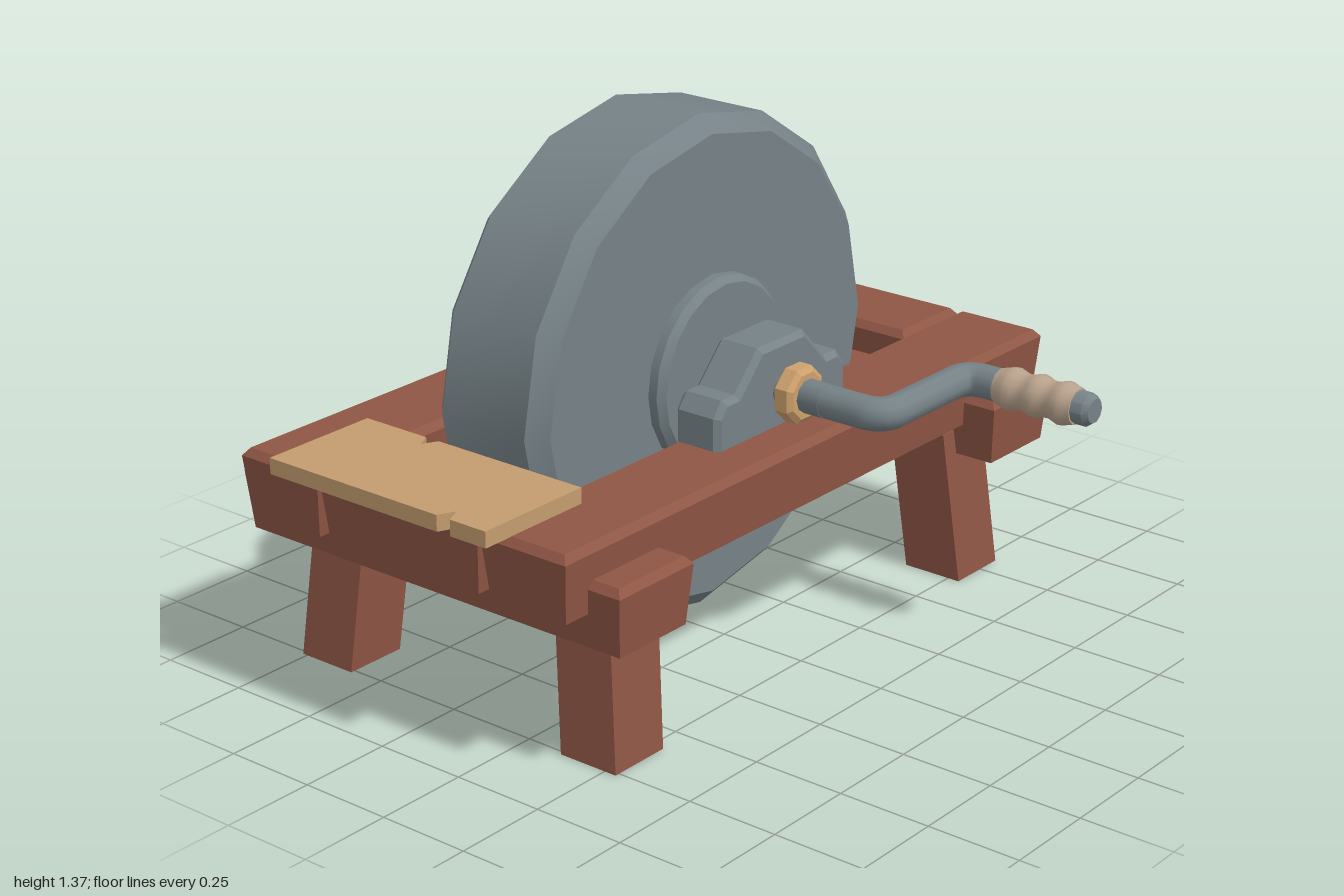
import * as THREE from 'three';
import { toCreasedNormals } from 'three/addons/utils/BufferGeometryUtils.js';
import { ConvexGeometry } from 'three/addons/geometries/ConvexGeometry.js';

const material = (name, color) => {
  const m = new THREE.MeshStandardMaterial({ color });
  m.name = name;
  return m;
};

export function createModel() {
  const model = new THREE.Group();
  model.name = 'grindstone';
  const wood = material('red wood', 0x8f5645);
  const stone = material('grey stone and iron', 0x768287);
  const board = material('light wood', 0xc39c6f);
  const brass = material('brass', 0xcda06c);
  const wrap = material('grip wrap', 0xb8a28c);

  const MID_X = -0.24, AXLE_Y = 0.71, AXLE_Z = -0.03;

  const add = (name, geometry, mat, x = 0, y = 0, z = 0) => {
    const mesh = new THREE.Mesh(geometry, mat);
    mesh.name = name;
    mesh.position.set(x, y, z);
    model.add(mesh);
    return mesh;
  };

  // Beam with a chamfered top and sides tapering in towards the bottom
  const beam = (name, x0, x1, y0, y1, z0, z1) => {
    const points = [];
    for (const [y, inset] of [[y0, 0.014], [y1 - 0.02, 0], [y1, 0.016]])
      for (const x of [x0 + inset, x1 - inset])
        for (const z of [z0 + inset, z1 - inset]) points.push(new THREE.Vector3(x, y, z));
    add(name, new ConvexGeometry(points), wood);
  };

  // Turned part along x, from [x, radius] pairs
  const turned = (name, profile, sides, mat, y, z, crease = 0.6, turn = 0) => {
    const g = new THREE.LatheGeometry(profile.map(([x, r]) => new THREE.Vector2(r, x)), sides);
    g.rotateY(turn);
    g.rotateZ(-Math.PI / 2);
    add(name, toCreasedNormals(g, crease), mat, 0, y, z);
  };

  // Frame: two long rails, end fillers and lower cross beams
  beam('rightRail', -0.765, -0.505, 0.445, 0.62, -1, 0.93);
  beam('leftRail', 0.028, 0.288, 0.445, 0.62, -1, 0.93);
  beam('backFiller', -0.495, 0.018, 0.445, 0.62, -1, -0.745);
  beam('frontFiller', -0.495, 0.018, 0.445, 0.62, 0.675, 0.93);
  beam('backCrossBeam', -0.853, 0.375, 0.355, 0.53, -0.917, -0.656);
  beam('frontCrossBeam', -0.853, 0.375, 0.355, 0.53, 0.58, 0.845);

  // Splayed legs
  for (const sx of [-1, 1])
    for (const sz of [-1, 1]) {
      const g = new THREE.BoxGeometry(0.172, 0.42, 0.175);
      g.translate(0, 0.21, 0);
      const p = g.attributes.position;
      for (let i = 0; i < p.count; i++) {
        const y = p.getY(i);
        p.setX(i, p.getX(i) - sx * 0.096 * y);
        p.setZ(i, p.getZ(i) - sz * 0.075 * y);
      }
      g.computeVertexNormals();
      add((sz > 0 ? 'front' : 'back') + (sx > 0 ? 'Left' : 'Right') + 'Leg', g, wood,
        MID_X + sx * 0.438, 0, AXLE_Z + sz * 0.705);
    }

  // Grinding wheel and hub
  turned('wheel', [[-0.415, 0], [-0.415, 0.615], [-0.372, 0.66], [-0.105, 0.66],
    [-0.062, 0.615], [-0.062, 0]], 16, stone, AXLE_Y, AXLE_Z, 0.45);
  turned('hub', [[-0.458, 0], [-0.458, 0.235], [-0.44, 0.252], [-0.036, 0.252],
    [-0.018, 0.235], [-0.018, 0]], 20, stone, AXLE_Y, AXLE_Z, 0.45);

  // Axle with collars
  turned('axle', [[-0.78, 0], [-0.78, 0.032], [-0.765, 0.044], [0.3, 0.044], [0.3, 0]],
    10, stone, AXLE_Y, AXLE_Z, 0.68);
  for (const [name, x] of [['rightCollar', -0.687], ['leftCollar', 0.21]])
    turned(name, [[x - 0.029, 0], [x - 0.029, 0.062], [x - 0.018, 0.076], [x + 0.018, 0.076],
      [x + 0.029, 0.062], [x + 0.029, 0]], 8, brass, AXLE_Y, AXLE_Z, 0.3, Math.PI / 8);

  // Stepped bearing blocks
  const block = new THREE.Shape([[-0.26, 0.6], [0.26, 0.6], [0.26, 0.705], [0.23, 0.745],
    [0.18, 0.745], [0.09, 0.84], [-0.09, 0.84], [-0.18, 0.745], [-0.23, 0.745], [-0.26, 0.705]]
    .map(([u, y]) => new THREE.Vector2(u, y)));
  for (const [name, x] of [['rightBearing', -0.64], ['leftBearing', 0.027]]) {
    const g = new THREE.ExtrudeGeometry(block, {
      depth: 0.108, bevelSize: 0.015, bevelThickness: 0.015, bevelOffset: -0.015, bevelSegments: 1 });
    g.rotateY(Math.PI / 2);
    add(name, g, stone, x + 0.015, 0, AXLE_Z);
  }

  // Crank arm with two bends
  const v = (x, z) => new THREE.Vector3(x, AXLE_Y, z);
  const GRIP_Z = -0.386;
  const path = new THREE.CurvePath();
  path.add(new THREE.LineCurve3(v(0.25, AXLE_Z), v(0.41, AXLE_Z)));
  path.add(new THREE.QuadraticBezierCurve3(v(0.41, AXLE_Z), v(0.468, AXLE_Z), v(0.468, -0.09)));
  path.add(new THREE.LineCurve3(v(0.468, -0.09), v(0.468, -0.326)));
  path.add(new THREE.QuadraticBezierCurve3(v(0.468, -0.326), v(0.468, GRIP_Z), v(0.528, GRIP_Z)));
  path.add(new THREE.LineCurve3(v(0.528, GRIP_Z), v(0.62, GRIP_Z)));
  add('crankArm', new THREE.TubeGeometry(path, 48, 0.043, 10), stone);
  turned('crankEnd', [[0.6, 0], [0.6, 0.043], [0.833, 0.043], [0.848, 0.032], [0.848, 0]],
    10, stone, AXLE_Y, GRIP_Z, 0.68);

  // Wavy grip
  const grip = [[0.572, 0.03]];
  for (let i = 0; i <= 16; i++)
    grip.push([0.572 + i * 0.0143, 0.052 - 0.005 * Math.cos(i * Math.PI / 2.667)]);
  grip.push([0.801, 0.03]);
  turned('grip', grip, 12, wrap, AXLE_Y, GRIP_Z, 0.7);

  // Notched tool board
  const plank = new THREE.Shape([[-0.59, 0.67], [-0.39, 0.67], [-0.37, 0.71], [-0.348, 0.67],
    [0.11, 0.67], [0.11, 1], [0, 1], [-0.02, 0.955], [-0.042, 1], [-0.59, 1]]
    .map(([x, z]) => new THREE.Vector2(x, z)));
  const plankGeometry = new THREE.ExtrudeGeometry(plank, { depth: 0.042, bevelEnabled: false });
  plankGeometry.rotateX(Math.PI / 2);
  add('toolBoard', plankGeometry, board, 0, 0.661, 0);

  return model;
}
